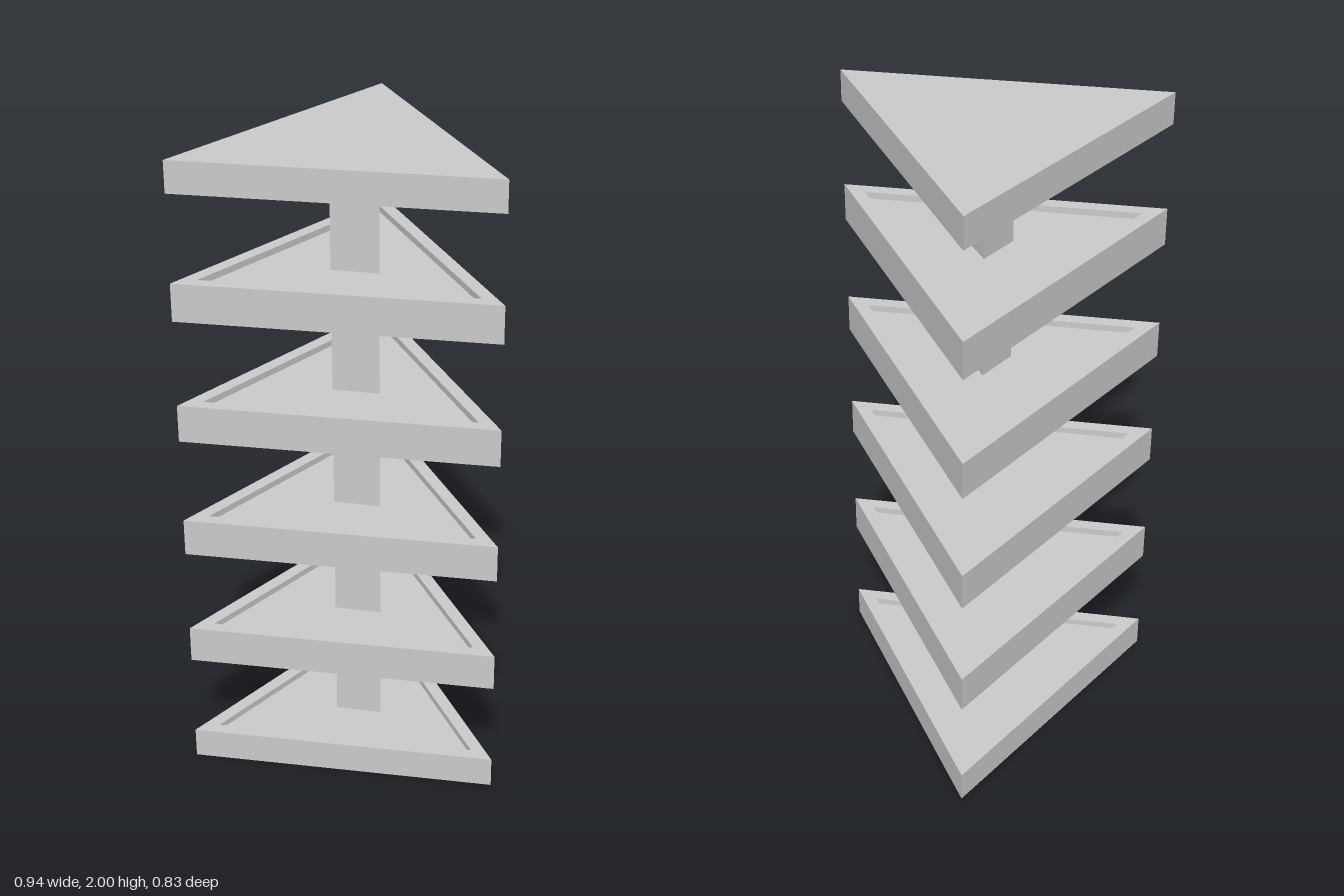
import * as THREE from 'three';

const material = new THREE.MeshStandardMaterial({ color: 0xcccccc, flatShading: true });
const OUTER = 0.553, INNER = 0.472; // corner radii of the shelf edge and its recess
const LIP = 0.02, FLOOR = 0.077;
const CENTRE_Z = -0.138;

// Three-sided lathe: a triangular tray with a raised lip below and/or above its floor
function shelf(name, y, lipBelow, lipAbove) {
  const floorTop = y + FLOOR;
  const profile = [[0, y]];
  if (lipBelow) profile.push([INNER, y], [INNER, y - LIP], [OUTER, y - LIP]);
  else profile.push([OUTER, y]);
  if (lipAbove) profile.push([OUTER, floorTop + LIP], [INNER, floorTop + LIP], [INNER, floorTop]);
  else profile.push([OUTER, floorTop]);
  profile.push([0, floorTop]);
  const geometry = new THREE.LatheGeometry(profile.map(([r, h]) => new THREE.Vector2(r, h)), 3)
    .scale(0.985, 1, 1)
    .translate(0, 0, CENTRE_Z)
    .toNonIndexed();
  geometry.computeVertexNormals();
  const mesh = new THREE.Mesh(geometry, material);
  mesh.name = name;
  return mesh;
}

// Triangular post standing between two shelf floors
function post(name, y0, y1) {
  const geometry = new THREE.CylinderGeometry(0.086, 0.086, y1 - y0, 3, 1)
    .scale(0.9, 1, 1)
    .translate(0, (y0 + y1) / 2, -0.121)
    .toNonIndexed();
  geometry.computeVertexNormals();
  const mesh = new THREE.Mesh(geometry, material);
  mesh.name = name;
  return mesh;
}

export function createModel() {
  const group = new THREE.Group();
  group.name = 'triangularShelfTower';

  // Six evenly spaced shelves; the lowest and highest are closed on the outside
  const count = 6;
  const pitch = (2 - FLOOR) / (count - 1);
  for (let i = 0; i < count; i++) {
    const y = i * pitch;
    const last = i === count - 1;
    group.add(shelf(`shelf${i + 1}`, y, i > 0, !last));
    if (!last) group.add(post(`post${i + 1}`, y + FLOOR, y + pitch));
  }
  return group;
}
